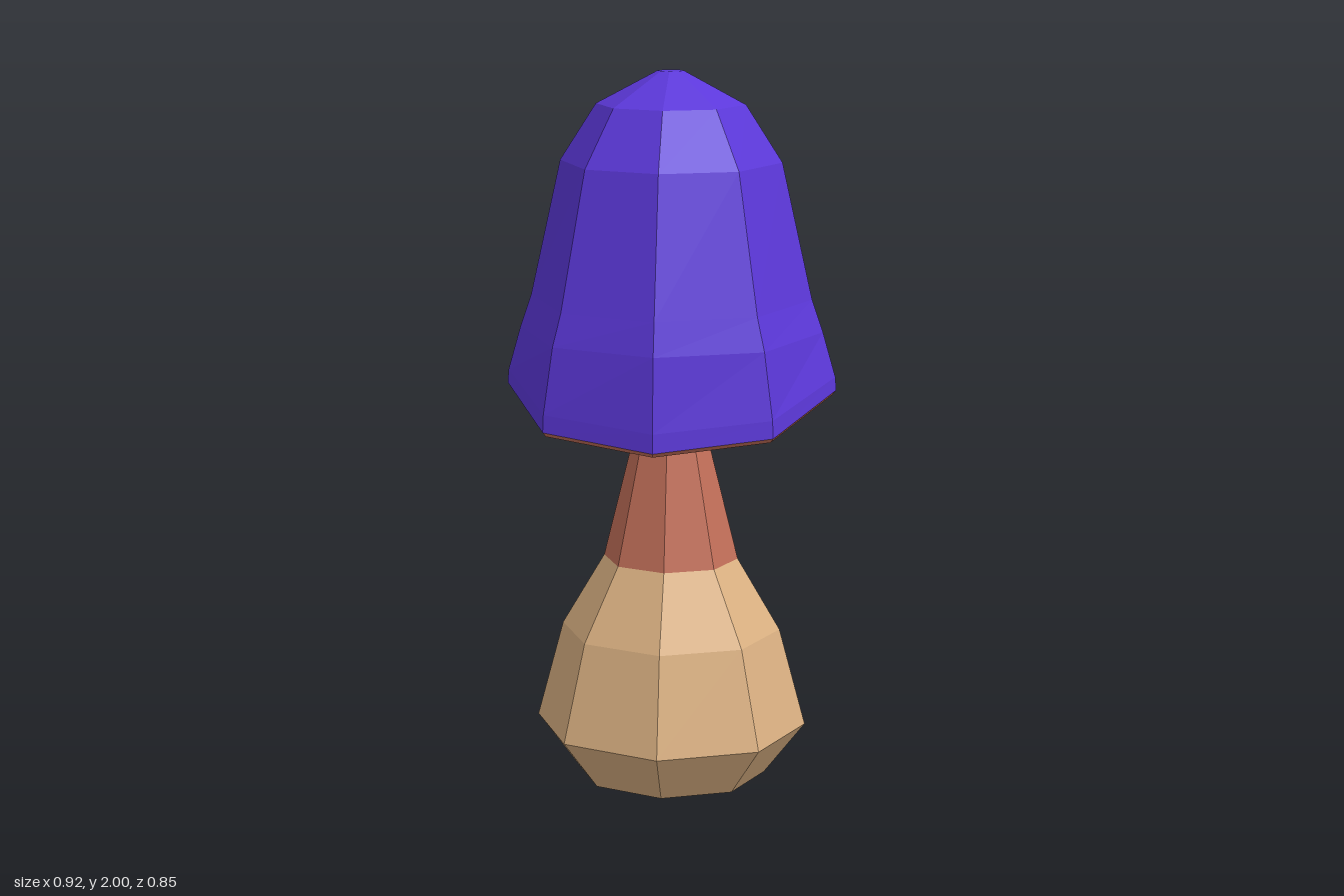
import * as THREE from 'three';

const mat = (name, color, extra = {}) => {
  const m = new THREE.MeshStandardMaterial({ color, flatShading: true, ...extra });
  m.name = name;
  return m;
};

const SIDES = 8;

// Eight-sided ring; diagonal corners use their own x and z factors, y may depend on z.
function ring(rx, rz, y, dx = Math.SQRT1_2, dz = Math.SQRT1_2) {
  return Array.from({ length: SIDES }, (_, i) => {
    const c = Math.cos((i * Math.PI) / 4), s = Math.sin((i * Math.PI) / 4);
    const x = rx * (i % 2 ? Math.sign(c) * dx : Math.round(c));
    const z = (typeof rz === 'function' ? rz(s) : rz) * (i % 2 ? Math.sign(s) * dz : Math.round(s));
    return [x, typeof y === 'function' ? y(z) : y, z];
  });
}

// Joins rings into facets, with optional closing fans at either end.
function loft(name, material, rings, { top = false, bottom = false } = {}) {
  const pos = [];
  const tri = (...pts) => pts.forEach((p) => pos.push(...p));
  const centre = (r) => [0, 1, 2].map((k) => r.reduce((sum, p) => sum + p[k], 0) / SIDES);
  for (let k = 0; k < rings.length - 1; k++) {
    for (let i = 0; i < SIDES; i++) {
      const j = (i + 1) % SIDES;
      const [lo, hi] = [rings[k], rings[k + 1]];
      tri(lo[i], hi[i], lo[j]);
      tri(lo[j], hi[i], hi[j]);
    }
  }
  for (let i = 0; i < SIDES; i++) {
    const j = (i + 1) % SIDES, last = rings[rings.length - 1];
    if (top) tri(centre(last), last[j], last[i]);
    if (bottom) tri(centre(rings[0]), rings[0][i], rings[0][j]);
  }
  const geo = new THREE.BufferGeometry();
  geo.setAttribute('position', new THREE.Float32BufferAttribute(pos, 3));
  geo.computeVertexNormals();
  const mesh = new THREE.Mesh(geo, material);
  mesh.name = name;
  return mesh;
}

export function createModel() {
  const purple = mat('purple cap', 0x5c38da);
  const brown = mat('reddish brown stem', 0xc4705a);
  const tan = mat('tan bulb', 0xdcb283);
  const olive = mat('olive underside', 0xc4c28e);
  const group = new THREE.Group();
  group.name = 'mushroom';

  // Bulb and stem share one slightly flattened section
  const stemRing = ([r, y]) => ring(r, r * 0.885, y);
  const bulb = [[0.27, 0], [0.385, 0.15], [0.31, 0.43], [0.19, 0.635]].map(stemRing);
  group.add(loft('bulb', tan, bulb));
  group.add(loft('bulbBase', olive, [bulb[0]], { bottom: true }));

  // Stem narrows, flares under the cap, then runs up into it
  const stem = [[0.19, 0.635], [0.095, 1.02], [0.205, 1.15], [0.19, 1.19], [0.11, 1.32]].map(stemRing);
  group.add(loft('stem', brown, stem));

  // Cap with a rim that dips to the front
  const capRing = (rx, rz, y) => ring(rx, rz, y, 0.672, 0.742);
  const rim = capRing(0.46, 0.425, (z) => 1.128 - 0.215 * z);
  group.add(loft('cap', purple, [
    rim,
    capRing(0.457, 0.423, (z) => 1.165 - 0.18 * z),
    capRing(0.421, (s) => 0.396 + 0.008 * s, 1.29),
    capRing(0.39, (s) => 0.372 + 0.01 * s, 1.38),
    capRing(0.305, 0.285, 1.755),
    capRing(0.205, 0.188, 1.91),
    capRing(0.036, 0.032, 2),
  ], { top: true }));

  // Hollow underside and thin lip
  group.add(loft('capUnderside', brown, [
    capRing(0.1, 0.09, (z) => 1.27 - 0.215 * z),
    capRing(0.43, 0.397, (z) => 1.13 - 0.215 * z),
    capRing(0.449, 0.414, (z) => 1.114 - 0.215 * z),
    rim,
  ]));
  return group;
}
